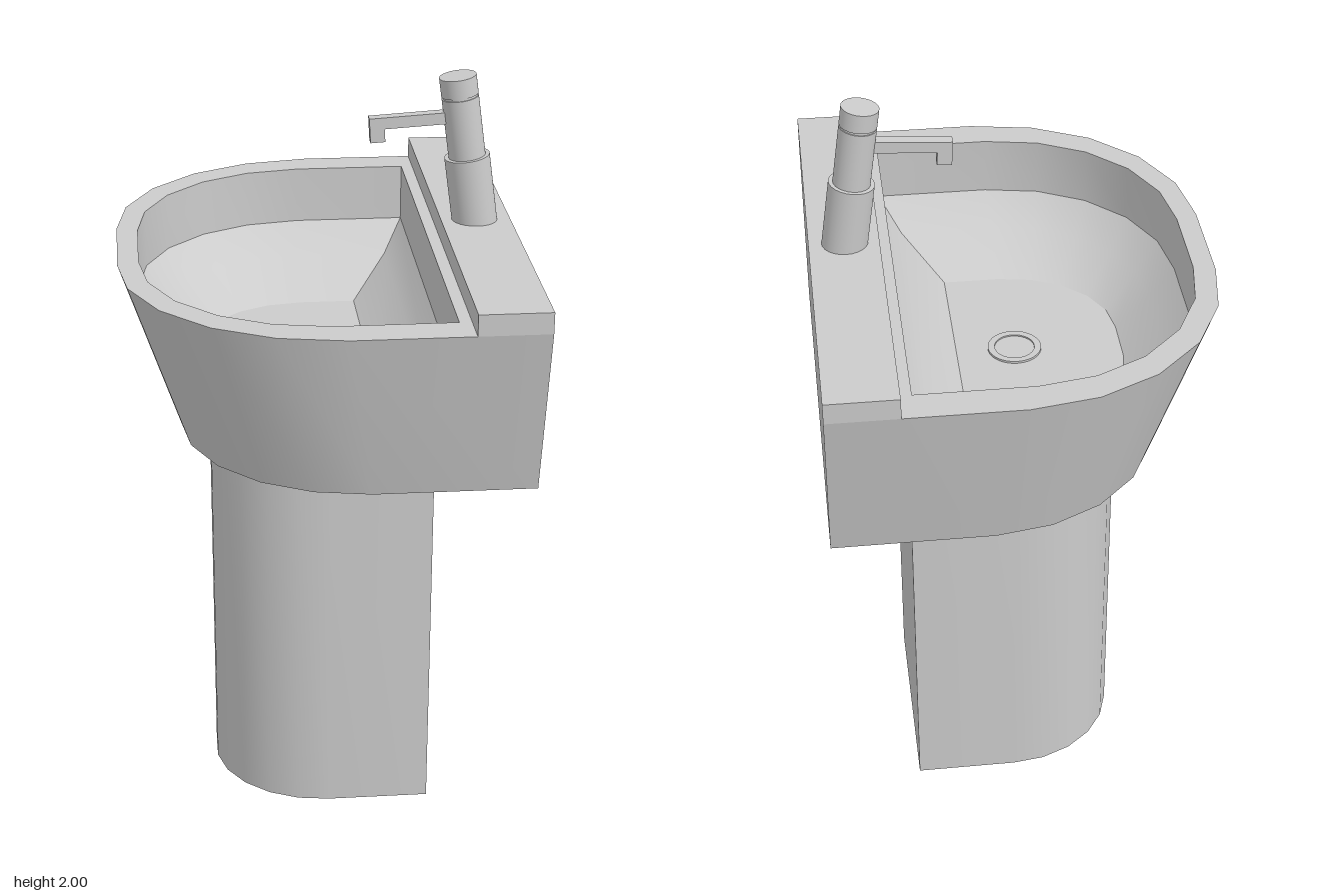
import * as THREE from 'three';
import { toCreasedNormals } from 'three/addons/utils/BufferGeometryUtils.js';

const material = new THREE.MeshStandardMaterial({ color: 0xcccccc });

// Half of a rounded front, as [depth, width] fractions from its start to its tip
const BASIN_CURVE = [[0, 1], [0.315, 0.956], [0.593, 0.844], [0.815, 0.667], [0.954, 0.444], [1, 0.2]];
const ROUND_CURVE = [0, 1, 2, 3, 4, 5].map((i) => {
  const a = (i / 5.5) * (Math.PI / 2);
  return [Math.sin(a), Math.cos(a)];
});

// D-shaped ring: flat at x = back, straight sides to x = start, rounded to x = front
function ring(curve, y, back, start, front, halfWidth, zMid = 0) {
  const half = [[back, halfWidth],
    ...curve.map(([d, w]) => [start + (front - start) * d, halfWidth * w])];
  const side = (s) => half.map(([x, z]) => new THREE.Vector3(x, y, zMid + s * z));
  return [...side(1), ...side(-1).reverse()];
}

// Skin a list of rings and close the first and last
function loft(rings, crease) {
  const pos = [];
  const tri = (...pts) => pts.forEach((p) => pos.push(p.x, p.y, p.z));
  const n = rings[0].length;
  for (let r = 0; r < rings.length - 1; r++) {
    const [low, high] = [rings[r], rings[r + 1]];
    for (let i = 0; i < n; i++) {
      const j = (i + 1) % n;
      tri(low[i], high[i], high[j]);
      tri(low[i], high[j], low[j]);
    }
  }
  const first = rings[0], last = rings[rings.length - 1];
  for (let i = 1; i < n - 1; i++) {
    tri(first[0], first[i], first[i + 1]);
    tri(last[0], last[i + 1], last[i]);
  }
  const geo = new THREE.BufferGeometry();
  geo.setAttribute('position', new THREE.Float32BufferAttribute(pos, 3));
  return toCreasedNormals(geo, crease);
}

function add(parent, name, geometry, x = 0, y = 0, z = 0) {
  const mesh = new THREE.Mesh(geometry, material);
  mesh.name = name;
  mesh.position.set(x, y, z);
  parent.add(mesh);
}

export function createModel() {
  const model = new THREE.Group();
  model.name = 'pedestalSink';

  // Pedestal column
  add(model, 'pedestal', loft([
    ring(ROUND_CURVE, 0, 0.293, 0.02, -0.283, 0.285),
    ring(ROUND_CURVE, 1.1, 0.293, 0.02, -0.283, 0.285),
  ], 0.5));

  // Basin: outer wall, rim, upright upper bowl, two slopes, floor
  add(model, 'basin', loft([
    ring(BASIN_CURVE, 1.098, 0.512, 0.1, -0.36, 0.573),
    ring(BASIN_CURVE, 1.555, 0.512, 0.03, -0.512, 0.674),
    ring(BASIN_CURVE, 1.555, 0.3, 0, -0.457, 0.583),
    ring(BASIN_CURVE, 1.4, 0.3, 0, -0.457, 0.583),
    ring(BASIN_CURVE, 1.325, 0.245, -0.01, -0.39, 0.5, 0.003),
    ring(BASIN_CURVE, 1.25, 0.14, -0.01, -0.297, 0.338, 0.012),
  ], 0.4));

  // Raised ledge along the back
  add(model, 'backLedge', new THREE.BoxGeometry(0.181, 0.055, 1.348), 0.4215, 1.5825, 0);

  // Drain ring with a recessed centre
  const drain = [[0.071, 0], [0.071, 0.006], [0.053, 0.006], [0.053, 0.002], [0, 0.002]]
    .map(([r, y]) => new THREE.Vector2(r, y));
  add(model, 'drain', toCreasedNormals(new THREE.LatheGeometry(drain, 28), 0.5), -0.015, 1.25, 0.013);

  // Tap, leaning towards the bowl
  const tap = new THREE.Group();
  tap.name = 'tap';
  tap.position.set(0.419, 1.61, 0.018);
  tap.rotation.z = 0.14;
  model.add(tap);
  const stack = [
    ['tapBase', 0.059, -0.02, 0.175],
    ['tapBody', 0.048, 0.175, 0.333],
    ['tapJoint', 0.045, 0.333, 0.339],
    ['tapHandle', 0.048, 0.339, 0.388],
  ];
  for (const [name, r, y0, y1] of stack) {
    add(tap, name, new THREE.CylinderGeometry(r, r, y1 - y0, 24), 0, (y0 + y1) / 2, 0);
  }

  // Spout arm with a downturned tip
  const spout = new THREE.Group();
  spout.name = 'spout';
  spout.position.set(0.36, 1.888, 0.017);
  spout.rotation.z = 0.06;
  model.add(spout);
  add(spout, 'spoutArm', new THREE.BoxGeometry(0.22, 0.03, 0.03), -0.11, 0, 0);
  add(spout, 'spoutTip', new THREE.BoxGeometry(0.038, 0.036, 0.03), -0.201, -0.031, 0);

  return model;
}
